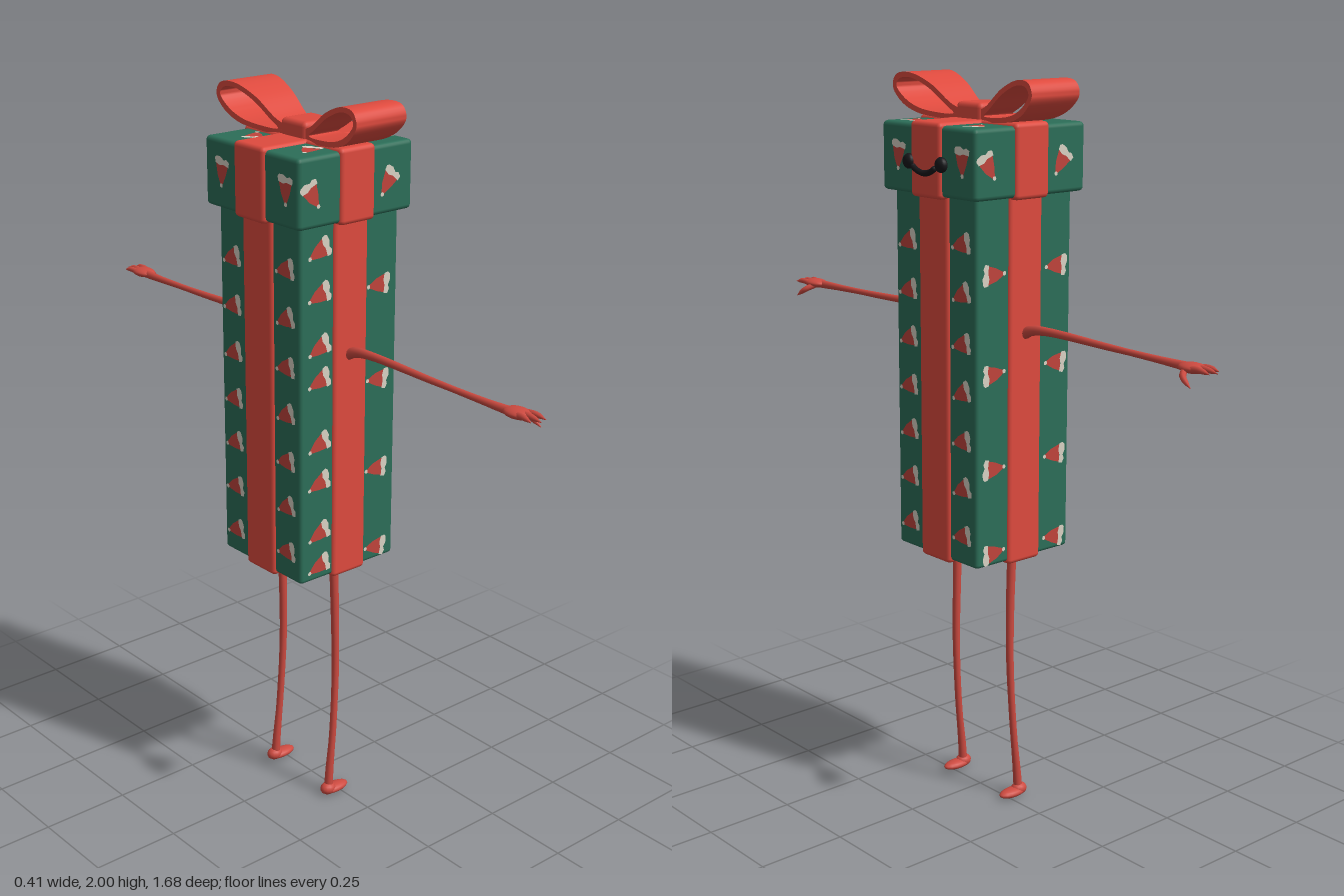
import * as THREE from 'three';
import { RoundedBoxGeometry } from 'three/addons/geometries/RoundedBoxGeometry.js';
import { mergeGeometries, toCreasedNormals } from 'three/addons/utils/BufferGeometryUtils.js';

const CX = -0.01; // middle of the box in x

const material = (name, color) => {
  const m = new THREE.MeshStandardMaterial({ color });
  m.name = name;
  return m;
};

export function createModel() {
  const green = material('wrapping green', 0x2c6e58);
  const red = material('ribbon red', 0xde4a3e);
  const limbRed = material('limb red', 0xcd4a40);
  const hatRed = material('hat red', 0xc0443c);
  const white = material('hat white', 0xd9d2c4);
  const black = material('face black', 0x17171a);

  const root = new THREE.Group();
  root.name = 'giftBoxFigure';

  const add = (parent, name, geo, mat, x = 0, y = 0, z = 0) => {
    const mesh = new THREE.Mesh(geo, mat);
    mesh.name = name;
    mesh.position.set(x, y, z);
    parent.add(mesh);
    return mesh;
  };
  const box = (name, w, y0, y1, d, r, mat) =>
    add(root, name, new RoundedBoxGeometry(w, y1 - y0, d, 2, r), mat, CX, (y0 + y1) / 2, 0);

  // Box, lid and the ribbon bands crossing them
  box('boxBody', 0.328, 0.726, 1.74, 0.328, 0.01, green);
  box('bodyRibbonAcross', 0.345, 0.717, 1.73, 0.12, 0.012, red);
  box('bodyRibbonAlong', 0.115, 0.717, 1.73, 0.342, 0.012, red);
  box('lid', 0.376, 1.702, 1.882, 0.376, 0.012, green);
  box('lidRibbonAcross', 0.394, 1.696, 1.89, 0.12, 0.012, red);
  box('lidRibbonAlong', 0.115, 1.696, 1.89, 0.39, 0.012, red);

  // Little hat print: cone, ragged fur band and pompom, tip pointing along +x
  const poly = (pts) => new THREE.ShapeGeometry(new THREE.Shape(pts.map((p) => new THREE.Vector2(...p))));
  const cone = poly([[-0.018, -0.026], [0.012, -0.018], [0.036, -0.004], [0.034, 0.004], [0.008, 0.016], [-0.018, 0.024]]);
  const band = poly([[-0.036, -0.024], [-0.03, -0.03], [-0.018, -0.028], [-0.014, -0.01], [-0.018, 0.004],
    [-0.015, 0.026], [-0.028, 0.028], [-0.034, 0.016], [-0.03, 0.006], [-0.037, -0.008]]);
  band.translate(0, 0, 0.0006);
  const pompom = new THREE.CircleGeometry(0.006, 7).translate(0.037, 0, 0.0006);
  const hatGeo = mergeGeometries([cone, mergeGeometries([band, pompom])], true);

  // One flat group per box side; hats are [u, v, angle in degrees]
  const printSide = (name, rotX, rotY, y, dist, hats) => {
    const side = new THREE.Group();
    side.name = name;
    side.rotation.set(rotX, rotY, 0);
    side.position.set(CX, y, 0);
    root.add(side);
    for (const [u, v, deg] of hats) {
      add(side, 'hatPrint', hatGeo, [hatRed, white], u, v, dist).rotation.z = THREE.MathUtils.degToRad(deg);
    }
  };
  const column = (u, ys, a, b) => ys.map((y, i) => [u, y, i % 2 ? b : a]);
  const pairs = [1.635, 1.52, 1.38, 1.29, 1.115, 1.005, 0.86, 0.765];
  const sparse = [1.51, 1.25, 0.995, 0.762];
  const evenL = [1.57, 1.44, 1.31, 1.18, 1.055, 0.925, 0.795];
  const evenR = [1.585, 1.455, 1.325, 1.195, 1.065, 0.935, 0.805];
  const H = Math.PI / 2;
  const bodyD = 0.1655, lidD = 0.1895;
  printSide('frontPrint', 0, 0, 0, bodyD, [...column(-0.1, pairs, 205, 200), ...column(0.1, sparse, 180, 175)]);
  printSide('backPrint', 0, Math.PI, 0, bodyD, [...column(-0.108, sparse, 0, 5), ...column(0.112, sparse, 180, 175)]);
  for (const [name, s] of [['facePrint', 1], ['rearPrint', -1]]) {
    printSide(name, 0, s * H, 0, bodyD, [...column(-0.11, evenL, 200, 195), ...column(0.108, evenR, 195, 205)]);
  }

  // Lid prints: four sides and the top
  const lidHats = [[-0.145, 0, 300], [0.105, -0.005, 235]];
  printSide('lidFrontPrint', 0, 0, 1.79, lidD, lidHats);
  printSide('lidBackPrint', 0, Math.PI, 1.79, lidD, lidHats);
  printSide('lidFacePrint', 0, H, 1.8, lidD, [[-0.115, 0, 265], [0.14, 0, 270]]);
  printSide('lidRearPrint', 0, -H, 1.8, lidD, [[-0.115, 0, 265], [0.14, 0, 270]]);
  printSide('lidTopPrint', -H, 0, 1.79, 0.0935,
    [[-0.1, 0.095, 40], [0.13, 0.125, 210], [-0.1, -0.125, 210], [0.13, -0.125, 210]]);

  // Bow: two teardrop loops that widen outward, plus the knot
  const loopPath = (pts, Type) => new Type(new THREE.CatmullRomCurve3(
    pts.map(([z, y]) => new THREE.Vector3(z, y, 0)), true).getPoints(48).slice(0, -1)
    .map((p) => new THREE.Vector2(p.x, p.y)));
  const loopShape = loopPath([[0.025, 1.886], [0.12, 1.886], [0.2, 1.898], [0.25, 1.925], [0.276, 1.962],
    [0.262, 1.992], [0.215, 1.998], [0.14, 1.972], [0.07, 1.925], [0.025, 1.905]], THREE.Shape);
  loopShape.holes.push(loopPath([[0.06, 1.9], [0.12, 1.899], [0.19, 1.91], [0.237, 1.934], [0.262, 1.963],
    [0.252, 1.98], [0.214, 1.985], [0.148, 1.961], [0.085, 1.918]], THREE.Path));
  const loop = new THREE.ExtrudeGeometry(loopShape, { depth: 1, steps: 1, bevelEnabled: false });
  loop.translate(0, 0, -0.5).rotateY(-H);
  const lp = loop.attributes.position;
  for (let i = 0; i < lp.count; i++) {
    const t = THREE.MathUtils.clamp((lp.getZ(i) - 0.03) / 0.24, 0, 1);
    lp.setX(i, lp.getX(i) * (0.09 + 0.072 * t));
  }
  const loopGeo = toCreasedNormals(loop, 0.7);
  for (const turn of [0, Math.PI]) add(root, 'bowLoop', loopGeo, red, CX, 0, 0).rotation.y = turn;
  box('bowKnot', 0.106, 1.875, 1.932, 0.1, 0.014, red);

  // Face on the +x side of the lid
  for (const s of [-1, 1]) {
    add(root, 'eye', new THREE.SphereGeometry(0.02, 16, 12), black, 0.186, 1.786, s * 0.065).scale.x = 0.7;
  }
  const smile = new THREE.QuadraticBezierCurve3(
    new THREE.Vector3(0.19, 1.774, 0.042), new THREE.Vector3(0.19, 1.746, 0), new THREE.Vector3(0.19, 1.774, -0.042));
  add(root, 'smile', new THREE.TubeGeometry(smile, 16, 0.008, 8), black);
  for (const s of [-1, 1]) add(root, 'smileEnd', new THREE.SphereGeometry(0.008, 8, 6), black, 0.19, 1.774, s * 0.042);

  // Tube whose radius follows a list of values along its length
  const taperTube = (pts, radii, segs = 20, sides = 10) => {
    const curve = new THREE.CatmullRomCurve3(pts.map((p) => new THREE.Vector3(...p)));
    const geo = new THREE.TubeGeometry(curve, segs, 1, sides);
    const pos = geo.attributes.position, v = new THREE.Vector3();
    for (let i = 0; i < pos.count; i++) {
      const t = Math.floor(i / (sides + 1)) / segs;
      const f = t * (radii.length - 1), k = Math.min(Math.floor(f), radii.length - 2);
      const c = curve.getPointAt(t);
      v.fromBufferAttribute(pos, i).sub(c).multiplyScalar(THREE.MathUtils.lerp(radii[k], radii[k + 1], f - k)).add(c);
      pos.setXYZ(i, v.x, v.y, v.z);
    }
    return geo;
  };

  for (const s of [-1, 1]) {
    // Arm and hand
    const arm = new THREE.Group();
    arm.name = s > 0 ? 'armFront' : 'armBack';
    root.add(arm);
    add(arm, 'armTube', taperTube([[-0.012, 1.338, s * 0.155], [-0.012, 1.354, s * 0.19], [-0.012, 1.36, s * 0.25],
      [-0.013, 1.356, s * 0.48], [-0.012, 1.353, s * 0.7], [-0.01, 1.353, s * 0.75]],
    [0.016, 0.011, 0.01, 0.009, 0.008, 0.009, 0.012]), limbRed);
    add(arm, 'palm', new THREE.SphereGeometry(1, 16, 12), limbRed, -0.007, 1.354, s * 0.762).scale.set(0.029, 0.013, 0.042);
    const finger = (name, pts) => add(arm, name, taperTube(pts, [0.009, 0.0085, 0.007, 0.0005], 10, 8), limbRed);
    [[-0.026, 0.826], [-0.008, 0.84], [0.012, 0.834]].forEach(([x, end]) =>
      finger('finger', [[x * 0.8, 1.354, s * 0.768], [x, 1.357, s * 0.8], [x * 1.1, 1.352, s * end]]));
    finger('thumb', [[0.008, 1.35, s * 0.75], [0.03, 1.338, s * 0.765], [0.038, 1.316, s * 0.798]]);

    // Leg and foot
    const leg = new THREE.Group();
    leg.name = s > 0 ? 'legFront' : 'legBack';
    root.add(leg);
    add(leg, 'legTube', taperTube([[-0.016, 0.74, s * 0.114], [-0.01, 0.56, s * 0.114], [-0.009, 0.4, s * 0.116],
      [-0.02, 0.2, s * 0.119], [-0.033, 0.07, s * 0.12], [-0.037, 0.012, s * 0.121]],
    [0.013, 0.012, 0.011, 0.01, 0.01, 0.013]), limbRed);
    add(leg, 'foot', new THREE.SphereGeometry(1, 16, 12), limbRed, -0.016, 0.013, s * 0.122).scale.set(0.047, 0.013, 0.022);
    add(leg, 'heel', new THREE.SphereGeometry(1, 14, 10), limbRed, -0.039, 0.018, s * 0.122).scale.set(0.024, 0.018, 0.02);
  }
  return root;
}
